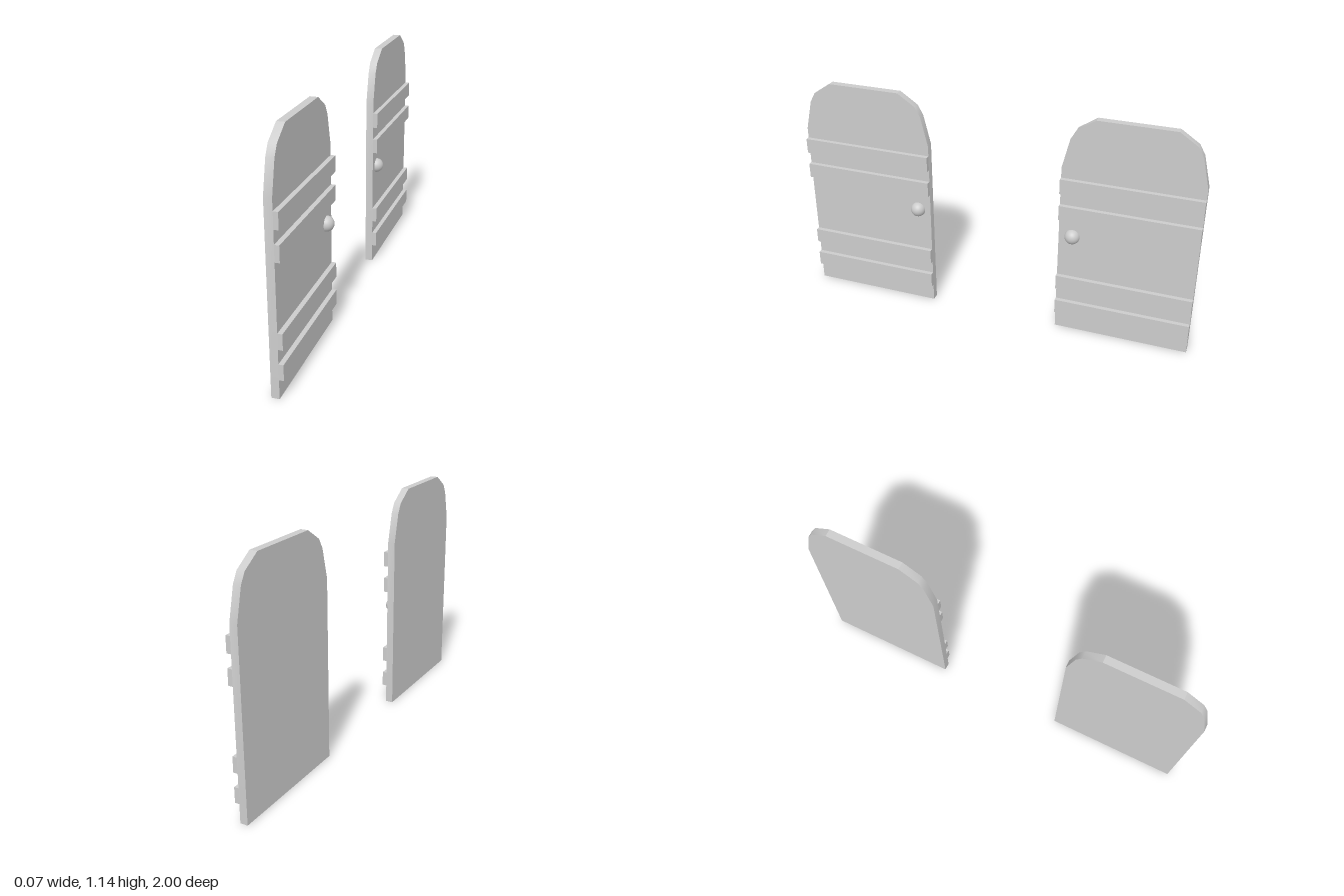
import * as THREE from 'three';
import { toCreasedNormals } from 'three/addons/utils/BufferGeometryUtils.js';

const THICKNESS = 0.037, HALF_WIDTH = 0.3325, CENTRE_Z = 0.6675;

// One side of the arched outline: [distance from door centre, height]
const ARCH = [[HALF_WIDTH, 0], [HALF_WIDTH, 0.89], [0.297, 1.037], [0.27, 1.085], [0.183, 1.143]];

// Bottom and top heights of the cross boards
const BOARDS = [[0.092, 0.167], [0.235, 0.31], [0.624, 0.699], [0.762, 0.838]];

export function createModel() {
  const model = new THREE.Group();
  model.name = 'doorPair';
  const material = new THREE.MeshStandardMaterial({ color: 0xcccccc });

  const add = (parent, name, geometry, x, y, z) => {
    const mesh = new THREE.Mesh(geometry, material);
    mesh.name = name;
    mesh.position.set(x, y, z);
    parent.add(mesh);
  };

  // Arched panel, turned so its face looks along +x
  const outline = [...ARCH, ...ARCH.map(([w, h]) => [-w, h]).reverse()];
  const shape = new THREE.Shape(outline.map(([w, h]) => new THREE.Vector2(w, h)));
  let panel = new THREE.ExtrudeGeometry(shape, { depth: THICKNESS, bevelEnabled: false });
  panel.rotateY(-Math.PI / 2);
  panel = toCreasedNormals(panel, 0.53);

  // Half-round knob bulging towards +x
  const knob = new THREE.SphereGeometry(0.037, 20, 20, Math.PI / 2, Math.PI);

  for (const side of [1, -1]) {
    const door = new THREE.Group();
    door.name = side > 0 ? 'frontDoor' : 'backDoor';
    door.position.z = side * CENTRE_Z;
    add(door, 'panel', panel, 0, 0, 0);
    for (const [low, high] of BOARDS) {
      const board = new THREE.BoxGeometry(0.022, high - low, 2 * HALF_WIDTH);
      add(door, 'crossBoard', board, 0.011, (low + high) / 2, 0);
    }
    // Knobs sit near the edges that face each other
    add(door, 'knob', knob, 0, 0.534, side * (0.402 - CENTRE_Z));
    model.add(door);
  }
  return model;
}
